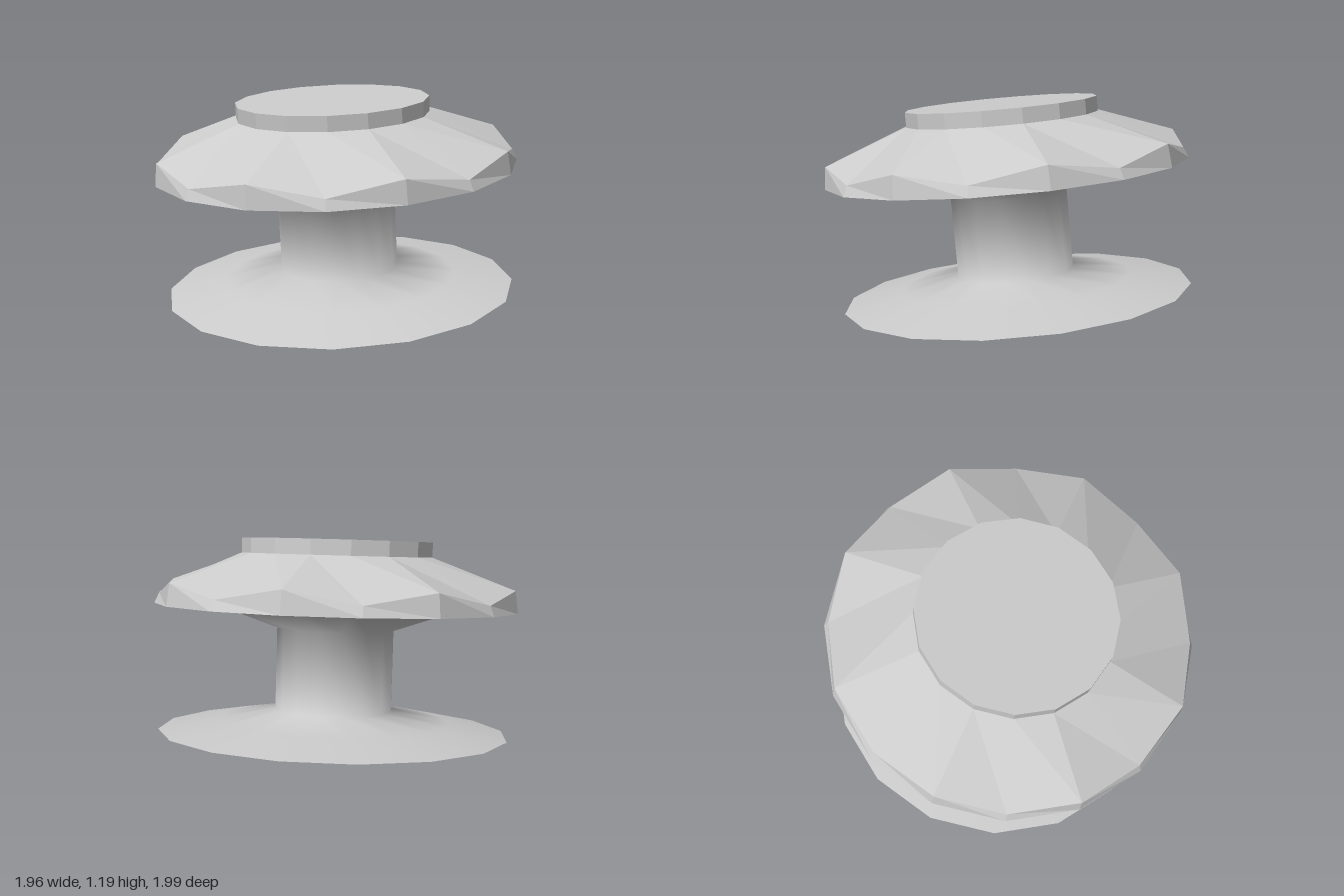
import * as THREE from 'three';

const SIDES = 16;
const profile = (pairs) => pairs.map(([r, y]) => new THREE.Vector2(r, y));

function grey(flat) {
  return new THREE.MeshStandardMaterial({ color: 0xcccccc, flatShading: flat, side: THREE.DoubleSide });
}

export function createModel() {
  const model = new THREE.Group();
  model.name = 'tiltedSpool';

  const add = (name, geometry, flat) => {
    const mesh = new THREE.Mesh(geometry, grey(flat));
    mesh.name = name;
    model.add(mesh);
    return mesh;
  };

  // Hollow stem that flares into the thin base disc and up to the drum, smooth and open below
  add('stemAndBase', new THREE.LatheGeometry(profile([
    [0.95, 0], [0.63, 0.063], [0.32, 0.12], [0.32, 0.56], [0.66, 0.68],
  ]), SIDES), false);

  // Faceted drum: flat underside, rim, sloping roof
  const rings = profile([[0.66, 0.68], [0.98, 0.68], [0.965, 0.8], [0.52, 0.96]]);
  const drum = new THREE.LatheGeometry(rings, SIDES);
  // Every second corner of the upper rim sits lower, giving the zigzag edge
  const pos = drum.attributes.position;
  for (let i = 1; i < SIDES; i += 2) {
    const k = i * rings.length + 2;
    pos.setXYZ(k, pos.getX(k) * 0.99, 0.735, pos.getZ(k) * 0.99);
  }
  add('drum', drum, true);

  // Raised cap on the drum
  const cap = add('cap', new THREE.CylinderGeometry(0.52, 0.52, 0.08, SIDES), true);
  cap.position.y = 1.0;

  // The whole piece leans forward
  model.rotation.x = 0.105;
  model.position.set(0, 0.1, -0.045);

  const root = new THREE.Group();
  root.name = 'model';
  root.add(model);
  return root;
}
